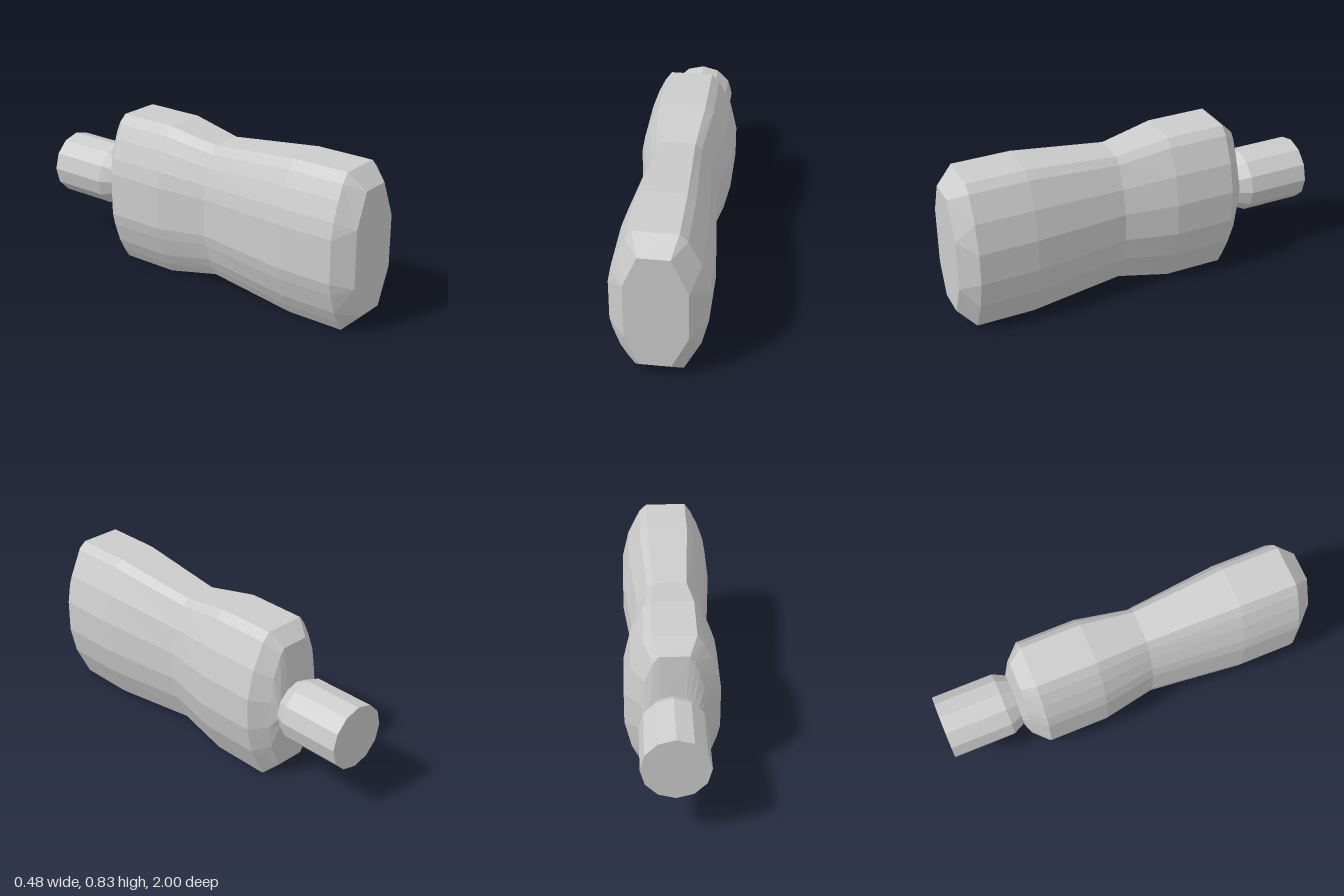
import * as THREE from 'three';

const MID = 0.415; // height of the long axis

// Body cross-section, counter-clockwise as seen from the front
const outline = [
  [0.12, 0], [0.205, 0.175], [0.24, 0.325], [0.24, 0.5], [0.205, 0.655], [0.14, 0.79], [0.1, 0.83],
  [-0.12, 0.83], [-0.155, 0.78], [-0.19, 0.705], [-0.225, 0.605], [-0.24, 0.52],
  [-0.24, 0.29], [-0.225, 0.225], [-0.19, 0.12], [-0.155, 0.055], [-0.12, 0],
];

// Octagonal front face, and the corner each outline point bevels into
const octagon = [
  [0.07, 0.088], [0.155, 0.275], [0.155, 0.55], [0.07, 0.745],
  [-0.085, 0.745], [-0.157, 0.57], [-0.157, 0.26], [-0.085, 0.088],
];
const bevelTo = [0, 1, 1, 2, 2, 3, 3, 4, 4, 5, 5, 5, 6, 6, 6, 7, 7];

const section = (z, sx = 1, sy = 1) =>
  outline.map(([x, y]) => new THREE.Vector3(x * sx, MID + (y - MID) * sy, z));

const roundSection = (z, r) => outline.map(([x, y]) => {
  const a = Math.atan2((y - MID) * 0.55, x);
  return new THREE.Vector3(r * Math.cos(a), MID + r * Math.sin(a), z);
});

// Skin closed rings from front to back and cap both ends
function loft(rings) {
  const pos = [];
  const tri = (a, b, c) => {
    const area = b.clone().sub(a).cross(c.clone().sub(a)).length();
    if (area > 1e-7) for (const p of [a, b, c]) pos.push(p.x, p.y, p.z);
  };
  const n = rings[0].length;
  for (let k = 0; k < rings.length - 1; k++) {
    const front = rings[k], back = rings[k + 1];
    for (let i = 0; i < n; i++) {
      const j = (i + 1) % n;
      tri(front[i], back[i], front[j]);
      tri(front[j], back[i], back[j]);
    }
  }
  const first = rings[0], last = rings[rings.length - 1];
  const c0 = new THREE.Vector3(0, MID, first[0].z);
  const c1 = new THREE.Vector3(0, MID, last[0].z);
  for (let i = 0; i < n; i++) {
    const j = (i + 1) % n;
    tri(c0, first[i], first[j]);
    tri(c1, last[j], last[i]);
  }
  const geo = new THREE.BufferGeometry();
  geo.setAttribute('position', new THREE.Float32BufferAttribute(pos, 3));
  geo.computeVertexNormals();
  return geo;
}

export function createModel() {
  const group = new THREE.Group();
  group.name = 'waistedHandle';
  const material = new THREE.MeshStandardMaterial({ color: 0xcccccc, flatShading: true });

  // Grip: bevelled front, pinched waist, domed back
  const grip = new THREE.Mesh(loft([
    bevelTo.map((k) => new THREE.Vector3(octagon[k][0], octagon[k][1], 1)),
    section(0.91),
    section(0.6),
    section(0.1, 0.79, 0.873),
    section(-0.18),
    section(-0.5),
    section(-0.575, 0.68, 0.83),
    roundSection(-0.607, 0.135),
  ]), material);
  grip.name = 'grip';
  group.add(grip);

  // Round stub with a tapered collar where it meets the grip
  const profile = [[0.135, 0.6], [0.17, 0.67], [0.17, 1], [0, 1]].map(([r, h]) => new THREE.Vector2(r, h));
  const stub = new THREE.Mesh(new THREE.LatheGeometry(profile, 12).rotateX(-Math.PI / 2), material);
  stub.position.y = MID;
  stub.name = 'rearStub';
  group.add(stub);

  return group;
}
